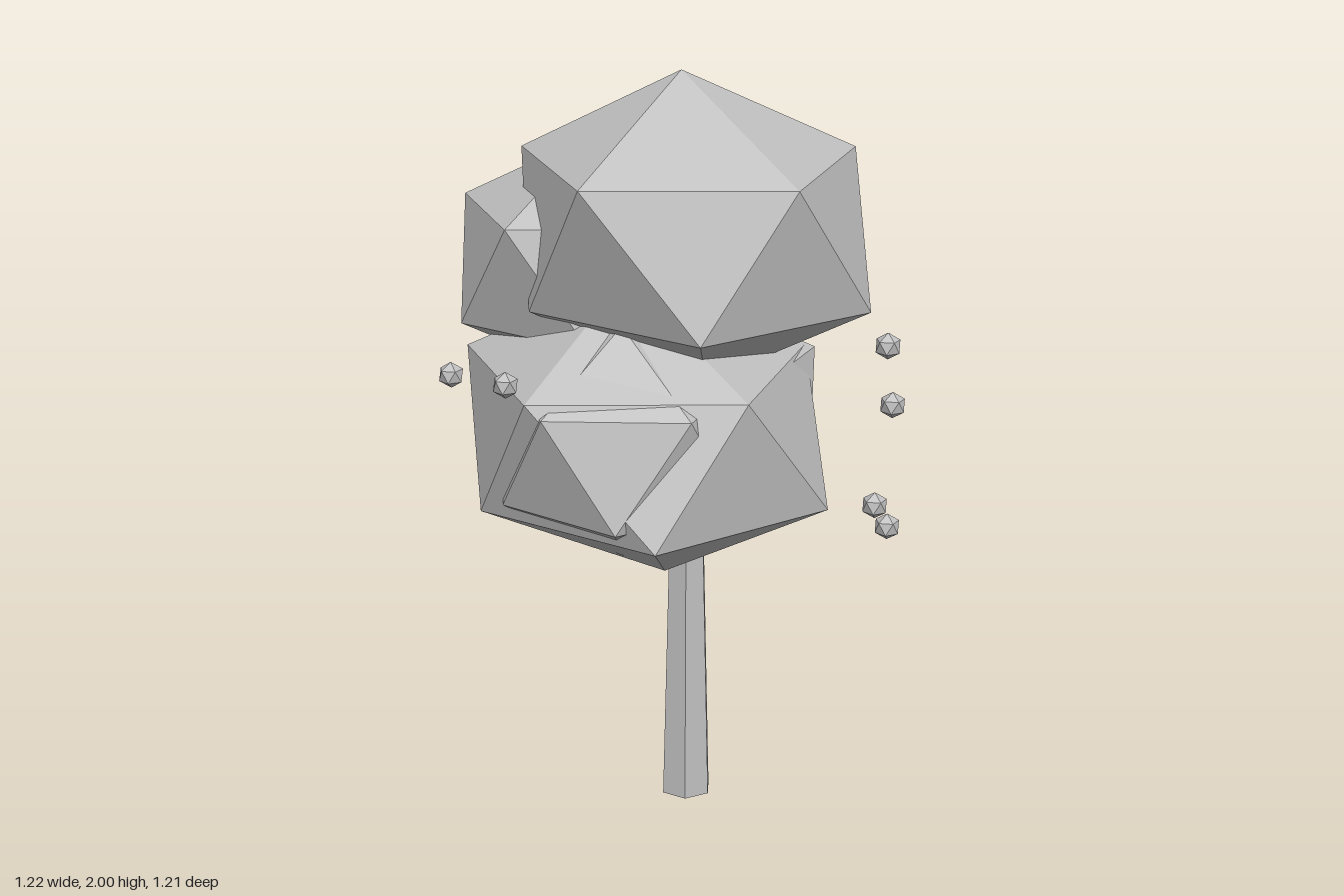
import * as THREE from 'three';

const deg = THREE.MathUtils.degToRad;
const grey = new THREE.MeshStandardMaterial({ color: 0xc0c0c0 });
grey.name = 'light grey';

// Twenty-sided clump standing on a corner; `turn` is the heading (x to z) of an upper corner
function clumpGeometry(radius, squash, turn, leanX = 0, leanZ = 0) {
  const geo = new THREE.IcosahedronGeometry(radius, 0);
  geo.rotateZ(Math.atan(2 / (1 + Math.sqrt(5))));
  geo.rotateY(deg(36 - turn));
  geo.scale(1, squash, 1);
  geo.applyMatrix4(new THREE.Matrix4().makeShear(0, 0, leanX, leanZ, 0, 0));
  const flat = geo.index ? geo.toNonIndexed() : geo;
  flat.computeVertexNormals();
  return flat;
}

function add(group, name, geometry, x, y, z) {
  const mesh = new THREE.Mesh(geometry, grey);
  mesh.name = name;
  mesh.position.set(x, y, z);
  group.add(mesh);
}

export function createModel() {
  const tree = new THREE.Group();
  tree.name = 'tree';

  // Tapered six-sided trunk
  const trunk = new THREE.CylinderGeometry(0.04, 0.071, 1.2, 6, 1, false, deg(-20)).toNonIndexed();
  trunk.computeVertexNormals();
  add(tree, 'trunk', trunk, 0.057, 0.6, 0);

  // Leaf clumps that grow through one another
  const crown = new THREE.Group();
  crown.name = 'crown';
  tree.add(crown);
  add(crown, 'topFoliage', clumpGeometry(0.512, 0.8, 0, -0.07, -0.05), 0.075, 1.59, 0);
  add(crown, 'lowerFoliage', clumpGeometry(0.525, 0.75, -1, -0.1, -0.11), -0.07, 1.08, 0.04);
  add(crown, 'backFoliage', clumpGeometry(0.405, 0.82, 0), -0.13, 1.47, -0.23);
  add(crown, 'frontFoliage', clumpGeometry(0.352, 0.88, 2), -0.17, 1.085, 0.165);
  add(crown, 'sideFoliage', clumpGeometry(0.392, 0.8, 5), 0.06, 1.105, -0.02);

  // Small berries around the crown
  const berries = new THREE.Group();
  berries.name = 'berries';
  tree.add(berries);
  const berry = clumpGeometry(0.034, 1, 10);
  [
    [0.39, 1.405, 0.56], [0.415, 1.245, 0.54], [0.36, 1.0, 0.575], [0.405, 0.93, 0.55],
    [0.58, 1.365, -0.375], [0.565, 1.29, -0.4], [0.457, 1.305, -0.505],
    [-0.23, 1.18, -0.575], [-0.585, 1.27, 0.045], [-0.51, 1.315, 0.31],
  ].forEach((p) => add(berries, 'berry', berry, ...p));

  return tree;
}
